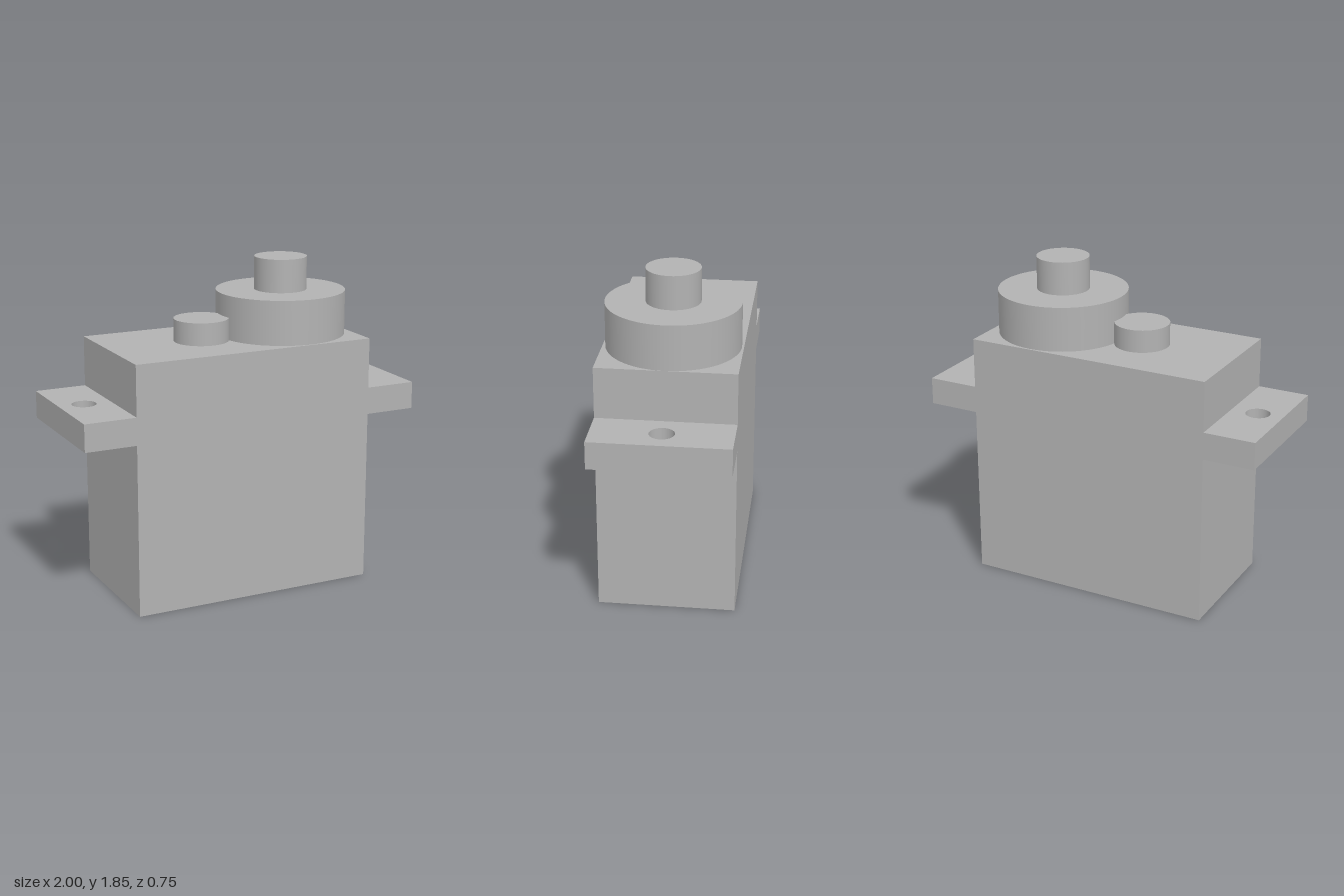
import * as THREE from 'three';

export function createModel() {
  const model = new THREE.Group();
  const grey = new THREE.MeshStandardMaterial({ color: 0xb2b2b2 });
  grey.name = 'casing grey';

  const halfWidth = 0.707, halfDepth = 0.377, bodyTop = 1.41;

  function add(name, geometry, x = 0, y = 0, z = 0) {
    const mesh = new THREE.Mesh(geometry, grey);
    mesh.name = name;
    mesh.position.set(x, y, z);
    model.add(mesh);
    return mesh;
  }

  // Upright cylinder standing between two heights
  function disc(name, x, radius, bottom, top) {
    add(name, new THREE.CylinderGeometry(radius, radius, top - bottom, 64), x, (bottom + top) / 2);
  }

  // Main casing
  add('body', new THREE.BoxGeometry(halfWidth * 2, bodyTop, halfDepth * 2), 0, bodyTop / 2);

  // Mounting tabs, each with a through hole
  const tabBottom = 0.972, tabHeight = 0.154;
  for (const [name, side] of [['leftTab', 1], ['rightTab', -1]]) {
    const a = Math.min(side * halfWidth, side), b = Math.max(side * halfWidth, side);
    const shape = new THREE.Shape([
      new THREE.Vector2(a, -halfDepth), new THREE.Vector2(b, -halfDepth),
      new THREE.Vector2(b, halfDepth), new THREE.Vector2(a, halfDepth),
    ]);
    const hole = new THREE.Path();
    hole.absarc(side * 0.857, 0, 0.068, 0, Math.PI * 2, true);
    shape.holes.push(hole);
    const geometry = new THREE.ExtrudeGeometry(shape, { depth: tabHeight, bevelEnabled: false, curveSegments: 32 });
    geometry.rotateX(-Math.PI / 2);
    add(name, geometry, 0, tabBottom);
  }

  // Gear housings and output shaft
  disc('smallGearHousing', -0.155, 0.154, bodyTop, 1.537);
  disc('largeGearHousing', 0.34, 0.366, bodyTop, 1.66);
  disc('outputShaft', 0.34, 0.148, 1.66, 1.847);

  return model;
}
